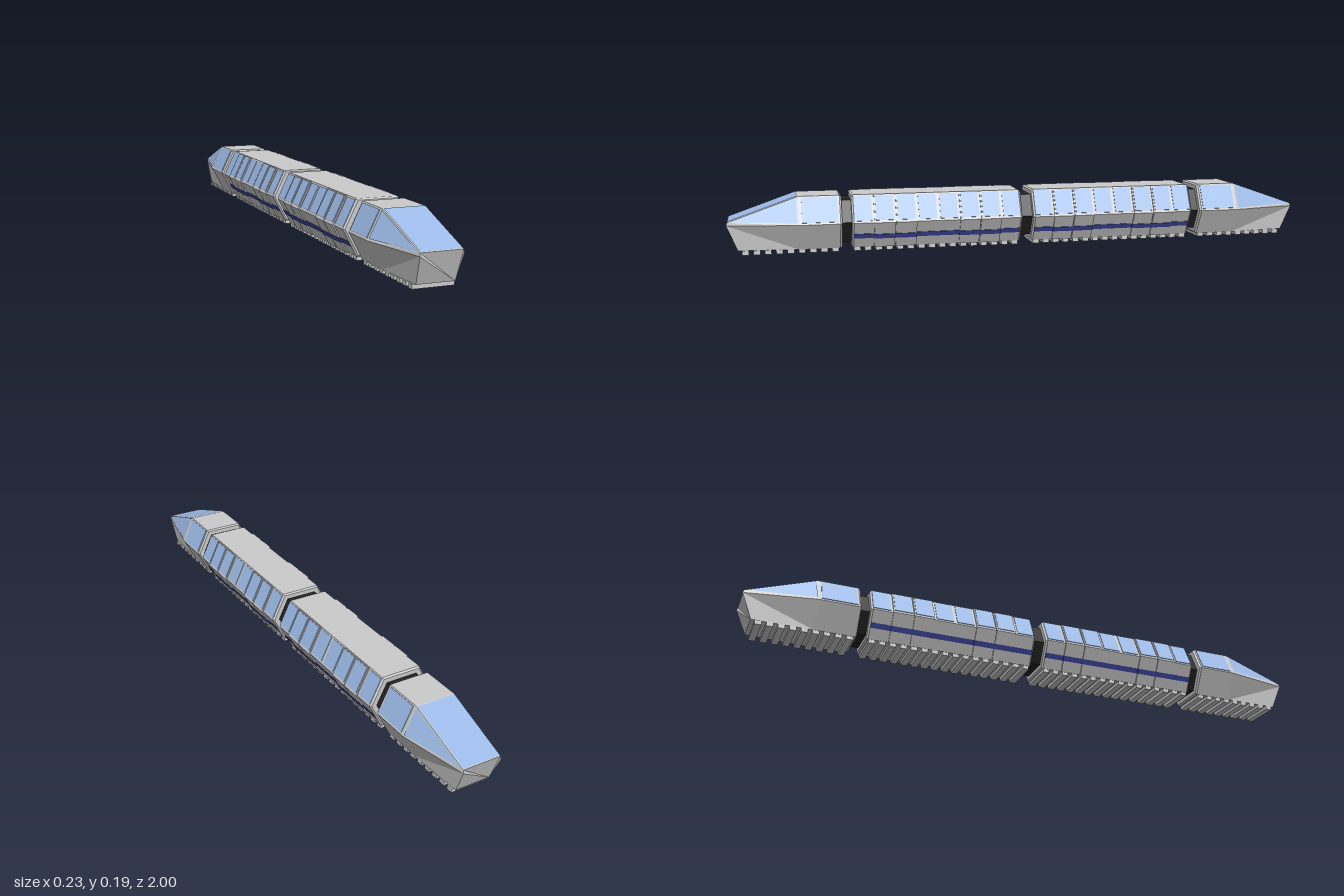
import * as THREE from 'three';

const grey = new THREE.MeshStandardMaterial({ color: 0xcccccc, flatShading: true });
const paint = (color) => new THREE.MeshStandardMaterial({ color, flatShading: true });
const glass = paint(0x9dbbe8), blue = paint(0x4048a0), black = paint(0x222222);

// Hexagonal car section: bottom, middle and top corners of the +x side
const B = [0.066, 0.012], M = [0.112, 0.1], T = [0.068, 0.19];
const hex = (z, s = 1) => {
  const side = [B, M, T].map(([x, y]) => [x * s, 0.1 + (y - 0.1) * s, z]);
  return [...side, ...mirrored(side)];
};
const mirrored = (side) => [...side].reverse().map(([x, y, z]) => [-x, y, z]);

function mesh(parent, name, geometry, material) {
  const m = new THREE.Mesh(geometry, material);
  m.name = name;
  parent.add(m);
  return m;
}

function facets(triangles) {
  const g = new THREE.BufferGeometry();
  g.setAttribute('position', new THREE.Float32BufferAttribute(triangles.flat(2), 3));
  g.computeVertexNormals();
  return g;
}

// Closed hull through six-cornered rings running towards +z
function loft(rings) {
  const tris = [];
  for (let k = 0; k < rings.length - 1; k++) {
    const a = rings[k], b = rings[k + 1];
    for (let i = 0; i < 6; i++) {
      const j = (i + 1) % 6;
      if (i < 3) tris.push([a[i], a[j], b[j]], [a[i], b[j], b[i]]);
      else tris.push([a[i], a[j], b[i]], [a[j], b[j], b[i]]);
    }
  }
  const first = rings[0], last = rings[rings.length - 1];
  for (let i = 1; i < 5; i++) {
    tris.push([first[0], first[i + 1], first[i]], [last[0], last[i], last[i + 1]]);
  }
  return facets(tris);
}

// Thin slab lying on a sloping wall p-q between fractions t0 and t1, on both sides
function panels(parent, name, p, q, t0, t1, z0, z1, out, material) {
  const dx = q[0] - p[0], dy = q[1] - p[1], len = Math.hypot(dx, dy);
  const at = (t, o) => [p[0] + dx * t + (dy / len) * o, p[1] + dy * t - (dx / len) * o];
  const corners = [at(t0, -0.004), at(t0, out), at(t1, out), at(t1, -0.004)];
  for (const s of [1, -1]) {
    const shape = new THREE.Shape(corners.map(([x, y]) => new THREE.Vector2(s * x, y)));
    const g = new THREE.ExtrudeGeometry(shape, { depth: z1 - z0, bevelEnabled: false });
    g.translate(0, 0, z0);
    mesh(parent, name, g, material);
  }
}

// Crosswise ribs under the floor
function ribs(parent, z0, z1, count) {
  const pitch = (z1 - z0) / count;
  for (let i = 0; i < count; i++) {
    mesh(parent, 'floorRib', new THREE.BoxGeometry(0.13, 0.014, pitch * 0.6), grey)
      .position.set(0, 0.007, z0 + (i + 0.5) * pitch);
  }
}

function passengerCar() {
  const car = new THREE.Group();
  car.name = 'passengerCar';
  const z0 = 0.02, z1 = 0.596, bay = (z1 - z0) / 8;
  mesh(car, 'carBody', loft([hex(z0, 0.95), hex(z0 + 0.006), hex(z1 - 0.006), hex(z1, 0.95)]), grey);
  // Eight bays per side; two pairs of them are raised door leaves
  for (let i = 0; i < 8; i++) {
    const a = z0 + i * bay, b = a + bay;
    const door = i === 1 || i === 2 || i === 5 || i === 6;
    const out = door ? 0.004 : 0;
    if (door) {
      panels(car, 'doorLower', B, M, 0.02, 1.02, a + 0.0015, b - 0.0015, out, grey);
      panels(car, 'doorUpper', M, T, -0.02, 0.98, a + 0.0015, b - 0.0015, out, grey);
    }
    panels(car, 'window', M, T, 0.07, 0.95, a + 0.006, b - 0.006, out + 0.002, glass);
    panels(car, 'stripe', B, M, 0.38, 0.56, a + (i ? 0 : 0.006), b - (i < 7 ? 0 : 0.006), out + 0.0015, blue);
  }
  ribs(car, z0, z1, 16);
  return car;
}

function endCar() {
  const car = new THREE.Group();
  car.name = 'endCar';
  const shoulder = 0.768;
  const tipSide = [[0.06, 0.015, 0.965], [0.067, 0.1, 1], [0.066, 0.11, 0.997]];
  mesh(car, 'noseBody', loft([hex(0.628, 0.95), hex(0.634), hex(shoulder), [...tipSide, ...mirrored(tipSide)]]), grey);
  panels(car, 'cabWindow', M, T, 0.07, 0.95, 0.64, shoulder - 0.01, 0.002, glass);

  // Windscreen and the triangular panes beside it
  const tl = [0.066, 0.191, 0.772], bl = [0.064, 0.113, 0.996];
  const flip = ([x, y, z]) => [-x, y, z];
  mesh(car, 'windscreen', facets([[tl, flip(tl), flip(bl)], [tl, flip(bl), bl]]), glass);
  const pane = [[0.111, 0.107, 0.773], [0.0715, 0.187, 0.773], [0.0685, 0.1115, 0.99]];
  mesh(car, 'sidePane', facets([pane]), glass);
  mesh(car, 'sidePane', facets([pane.map(flip).reverse()]), glass);
  ribs(car, 0.632, 0.96, 9);
  return car;
}

// Dark bellows between cars
function bellows(parent, z) {
  mesh(parent, 'bellows', loft([hex(z - 0.025, 0.79), hex(z + 0.025, 0.79)]), black);
}

export function createModel() {
  const train = new THREE.Group();
  train.name = 'train';
  for (const turn of [0, Math.PI]) {
    const half = new THREE.Group();
    half.name = turn ? 'rearHalf' : 'frontHalf';
    half.add(passengerCar(), endCar());
    bellows(half, 0.612);
    half.rotation.y = turn;
    train.add(half);
  }
  bellows(train, 0);
  return train;
}
